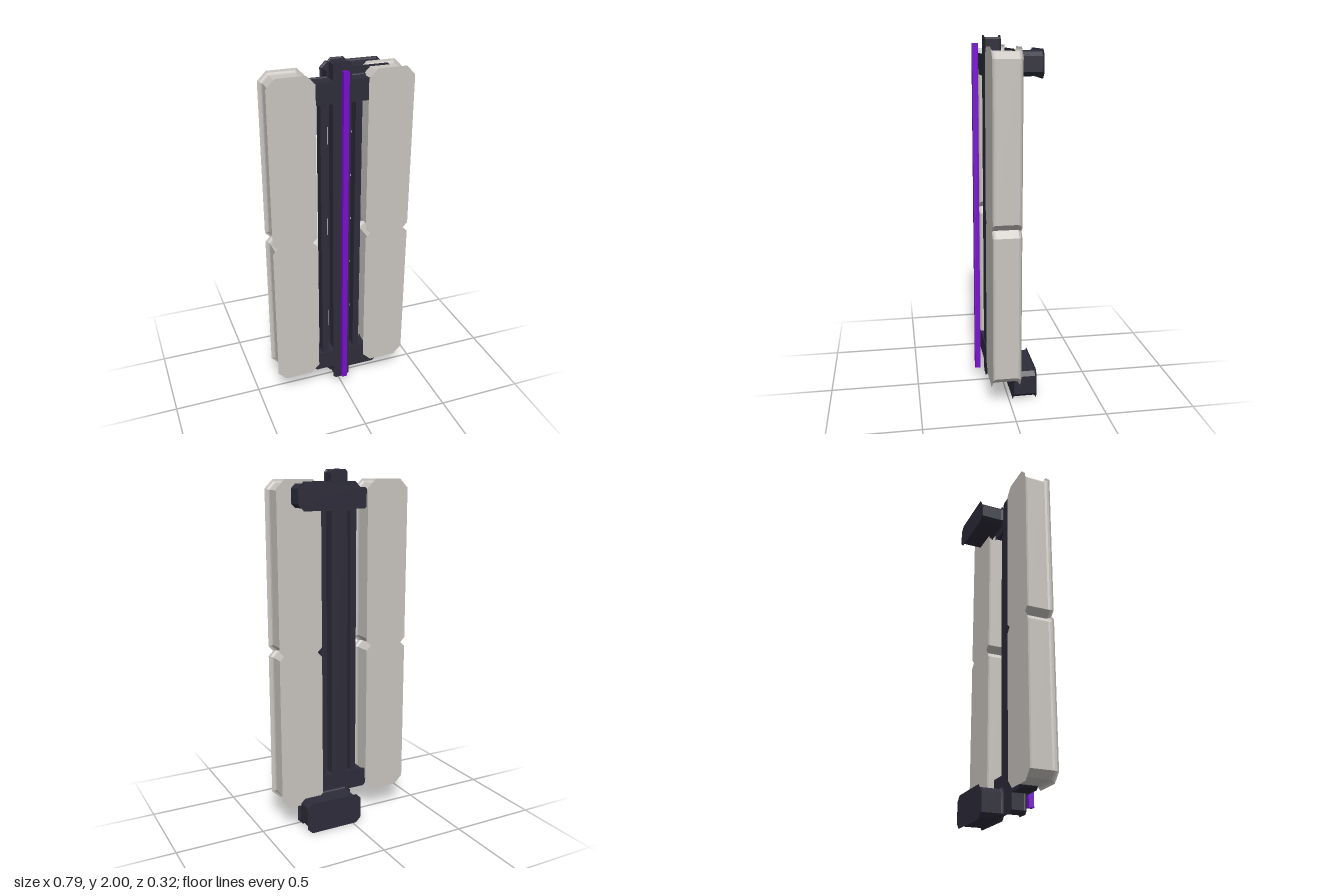
import * as THREE from 'three';

// Chamfered rectangle outline, optionally with V notches in both long sides
function outline(x0, x1, y0, y1, c, notchY) {
  const n = 0.027;
  const p = [[x0 + c, y0], [x1 - c, y0], [x1, y0 + c]];
  if (notchY) p.push([x1, notchY - n], [x1 - n, notchY], [x1, notchY + n]);
  p.push([x1, y1 - c], [x1 - c, y1], [x0 + c, y1], [x0, y1 - c]);
  if (notchY) p.push([x0, notchY + n], [x0 + n, notchY], [x0, notchY - n]);
  p.push([x0, y0 + c]);
  return new THREE.Shape(p.map(([x, y]) => new THREE.Vector2(x, y)));
}

// Extrusion whose end caps flare out past a narrower waist
function flared(shape, z0, z1, flare) {
  const g = new THREE.ExtrudeGeometry(shape, {
    depth: z1 - z0 - 2 * flare,
    bevelEnabled: true,
    bevelThickness: flare,
    bevelSize: -flare,
    bevelSegments: 3,
  });
  return g.translate(0, 0, z0 + flare);
}

export function createModel() {
  const group = new THREE.Group();
  const grey = new THREE.MeshStandardMaterial({ name: 'warmGrey', color: 0xc9c5c0 });
  const dark = new THREE.MeshStandardMaterial({ name: 'darkSlate', color: 0x2d2c3a });
  const purple = new THREE.MeshStandardMaterial({ name: 'purple', color: 0x7610cc });

  const add = (name, geometry, material) => {
    const m = new THREE.Mesh(geometry, material);
    m.name = name;
    group.add(m);
  };
  const box = (x0, x1, y0, y1, z0, z1) =>
    new THREE.BoxGeometry(x1 - x0, y1 - y0, z1 - z0)
      .translate((x0 + x1) / 2, (y0 + y1) / 2, (z0 + z1) / 2);

  // Two tall notched side panels
  add('rightPanel', flared(outline(-0.398, -0.144, 0.13, 1.948, 0.048, 1.02), -0.045, 0.11, 0.022), grey);
  add('leftPanel', flared(outline(0.14, 0.394, 0.13, 1.948, 0.048, 1.02), -0.045, 0.11, 0.022), grey);

  // Central post, cross bars and thin rods
  add('post', flared(outline(-0.05, 0.05, 0.04, 2.0, 0.016), 0.013, 0.1, 0.009), dark);
  add('topBar', flared(outline(-0.172, 0.172, 1.79, 1.905, 0.016), 0.007, 0.108, 0.008), dark);
  add('bottomBar', flared(outline(-0.172, 0.172, 0.14, 0.255, 0.016), 0.007, 0.108, 0.008), dark);
  for (const s of [-1, 1])
    add(s < 0 ? 'rightRod' : 'leftRod',
      box(s * 0.096 - 0.018, s * 0.096 + 0.018, 0.2, 1.85, 0.03, 0.09), dark);

  // Offset blocks on the back
  add('topBackBlock', flared(outline(-0.03, 0.325, 1.79, 1.937, 0.03), -0.163, -0.017, 0.013), dark);
  add('bottomBackBlock', flared(outline(-0.05, 0.29, 0, 0.178, 0.03), -0.153, -0.022, 0.013), dark);

  // Bright strip floating in front of the post
  add('frontStrip', box(-0.015, 0.015, 0.085, 1.96, 0.13, 0.161), purple);

  return group;
}
